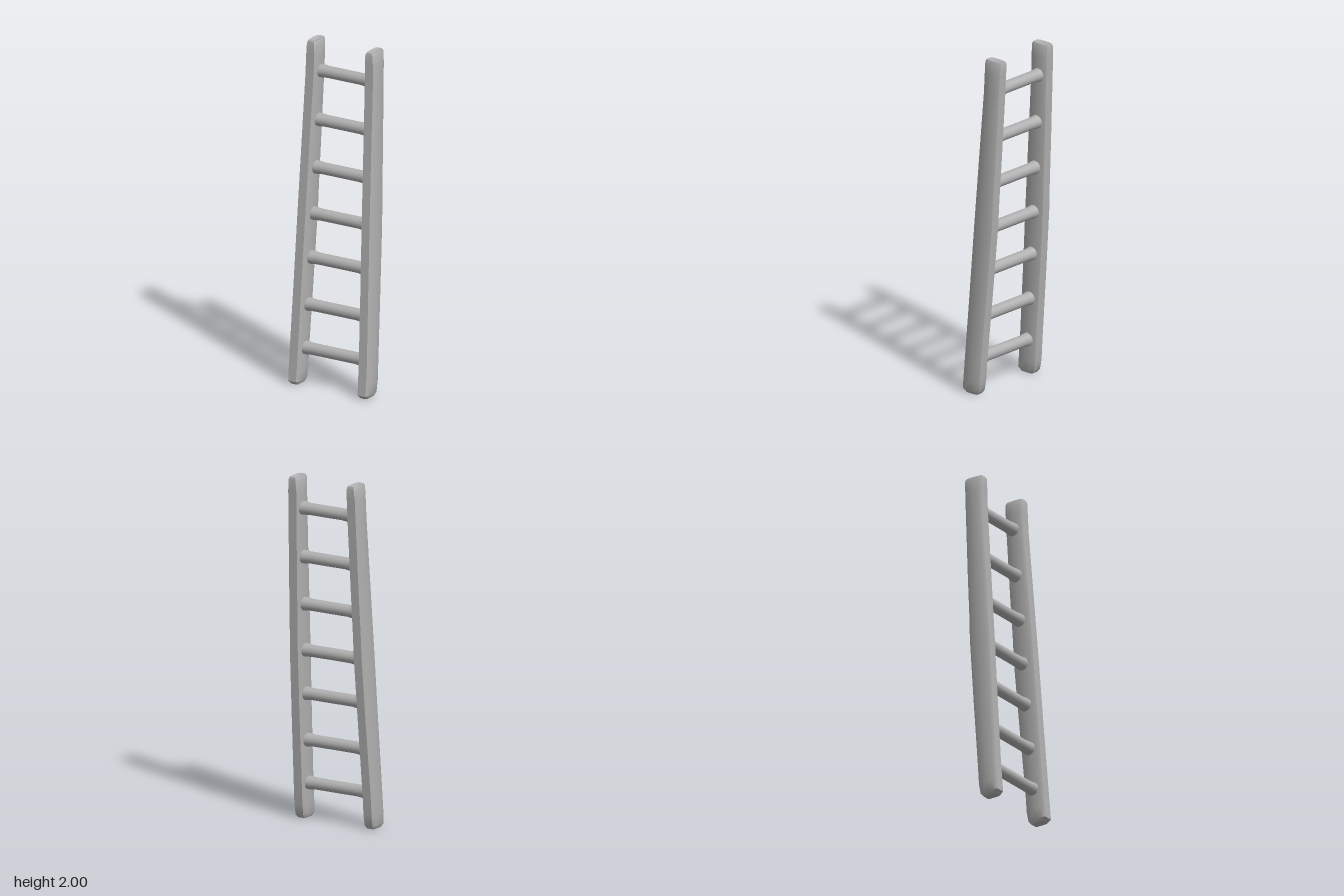
import * as THREE from 'three';
import { toCreasedNormals } from 'three/addons/utils/BufferGeometryUtils.js';

// Rail outline at unit half-size: flat front and back, softly bulging sides
const outline = [
  [1, 0], [0.93, 0.72], [0.7, 1], [-0.7, 1], [-0.93, 0.72],
  [-1, 0], [-0.93, -0.72], [-0.7, -1], [0.7, -1], [0.93, -0.72],
];

// Rail sections going up: y, centre x, half width, front z, back z
const sections = [
  [0.0, 0.227, 0.026, 0.108, 0.025],
  [0.02, 0.228, 0.036, 0.126, 0.008],
  [0.08, 0.228, 0.038, 0.12, -0.003],
  [0.2, 0.227, 0.038, 0.11, -0.011],
  [0.6, 0.219, 0.037, 0.082, -0.046],
  [1.0, 0.211, 0.037, 0.055, -0.078],
  [1.15, 0.208, 0.037, 0.044, -0.084],
  [1.4, 0.203, 0.037, 0.026, -0.098],
  [1.8, 0.195, 0.038, -0.004, -0.117],
  [1.92, 0.193, 0.038, -0.009, -0.122],
  [1.985, 0.192, 0.033, -0.009, -0.127],
  [2.0, 0.192, 0.026, -0.014, -0.123],
];

// Interpolated centre of the rail at a given height
function railAt(y) {
  const i = Math.max(1, sections.findIndex((s) => s[0] >= y));
  const a = sections[i - 1], b = sections[i];
  const t = (y - a[0]) / (b[0] - a[0]);
  const mix = (k) => a[k] + (b[k] - a[k]) * t;
  return { x: mix(1), z: (mix(3) + mix(4)) / 2 };
}

function railGeometry(side) {
  const pos = [], index = [], n = outline.length;
  for (const [y, cx, w, front, back] of sections) {
    for (const [u, v] of outline) {
      pos.push(side * cx + u * w, y, (front + back) / 2 + v * (front - back) / 2);
    }
  }
  const last = (sections.length - 1) * n;
  const bottom = pos.length / 3, top = bottom + 1;
  const foot = railAt(0), head = railAt(2);
  // End caps, the upper one slightly dished
  pos.push(side * foot.x, 0, foot.z, side * head.x, 1.988, head.z);
  for (let j = 0; j < n; j++) {
    const k = (j + 1) % n;
    for (let r = 0; r < last; r += n) {
      index.push(r + j, r + n + j, r + k, r + k, r + n + j, r + n + k);
    }
    index.push(bottom, j, k, top, last + k, last + j);
  }
  const geo = new THREE.BufferGeometry();
  geo.setAttribute('position', new THREE.Float32BufferAttribute(pos, 3));
  geo.setIndex(index);
  return toCreasedNormals(geo, 0.55);
}

// Round rung with slightly flared ends, running along x
function rungGeometry(half) {
  const profile = [[0.04, -half], [0.038, -half + 0.035], [0.034, -half + 0.07],
    [0.034, half - 0.07], [0.038, half - 0.035], [0.04, half]]
    .map(([r, y]) => new THREE.Vector2(r, y));
  return new THREE.LatheGeometry(profile, 16).rotateZ(Math.PI / 2);
}

export function createModel() {
  const group = new THREE.Group();
  group.name = 'ladder';
  const grey = new THREE.MeshStandardMaterial({ color: 0xb0b0b0 });
  grey.name = 'plain grey';

  for (const side of [1, -1]) {
    const rail = new THREE.Mesh(railGeometry(side), grey);
    rail.name = side > 0 ? 'leftRail' : 'rightRail';
    group.add(rail);
  }

  [0.205, 0.457, 0.73, 0.985, 1.255, 1.532, 1.817].forEach((y, i) => {
    const { x, z } = railAt(y);
    const rung = new THREE.Mesh(rungGeometry(x - 0.015), grey);
    rung.name = `rung${i + 1}`;
    rung.position.set(0, y, z - 0.005);
    group.add(rung);
  });
  return group;
}
